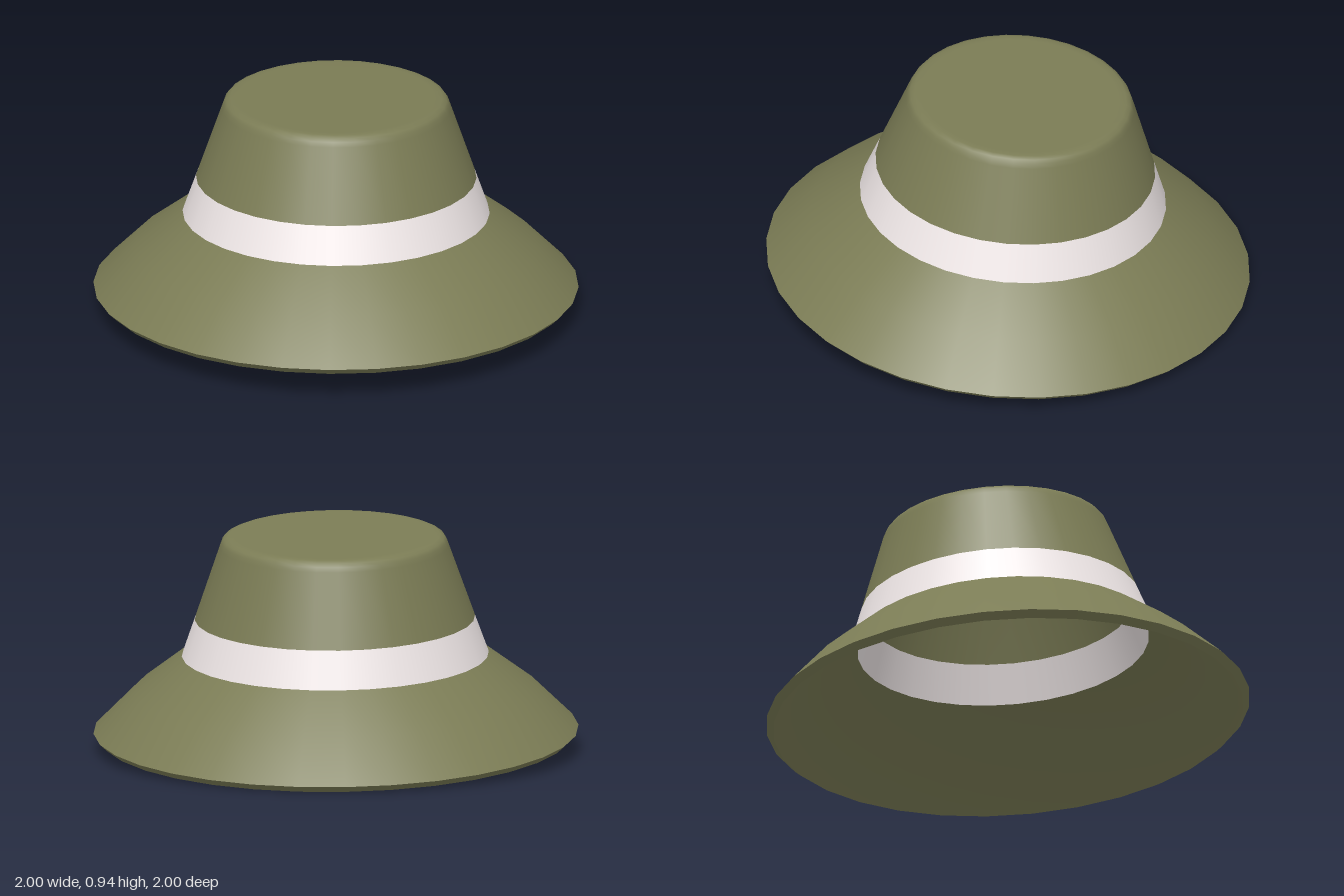
import * as THREE from 'three';

const SIDES = 32;
const olive = new THREE.MeshStandardMaterial({ color: 0x7b7c55 });
const cream = new THREE.MeshStandardMaterial({ color: 0xf0e8e8 });

// Turned section; a profile running upwards faces outwards, downwards faces inwards
function turned(name, profile, material) {
  const points = profile.map(([r, y]) => new THREE.Vector2(r, y));
  const mesh = new THREE.Mesh(new THREE.LatheGeometry(points, SIDES), material);
  mesh.name = name;
  return mesh;
}

export function createModel() {
  const hat = new THREE.Group();
  hat.name = 'bucketHat';

  // Brim: sloping outer skin, thin hem and inner lining
  const brim = new THREE.Group();
  brim.name = 'brim';
  brim.add(
    turned('brimOuter', [[1, 0.09], [0.83, 0.26], [0.633, 0.41]], olive),
    turned('brimHem', [[0.972, 0.063], [1, 0.09]], olive),
    turned('brimLining', [[0.603, 0.395], [0.808, 0.235], [0.972, 0.063]], olive)
  );

  // Ribbon band, showing on both the outside and the inside
  const band = new THREE.Group();
  band.name = 'band';
  band.add(
    turned('bandOuter', [[0.633, 0.41], [0.578, 0.565]], cream),
    turned('bandLining', [[0.548, 0.555], [0.603, 0.395]], cream)
  );

  // Tapered crown with a softly rounded top edge
  const crown = new THREE.Group();
  crown.name = 'crown';
  crown.add(
    turned('crownOuter', [
      [0.578, 0.565], [0.472, 0.87], [0.465, 0.89], [0.455, 0.904],
      [0.437, 0.912], [0.41, 0.913], [0, 0.913]
    ], olive),
    turned('crownLining', [
      [0, 0.883], [0.4, 0.883], [0.425, 0.88], [0.437, 0.865], [0.548, 0.555]
    ], olive)
  );

  hat.add(brim, band, crown);

  // The whole hat tips back slightly, front edge raised
  hat.rotation.x = -0.064;
  hat.position.set(0, 0, 0.004);

  const model = new THREE.Group();
  model.name = 'hat';
  model.add(hat);
  return model;
}
